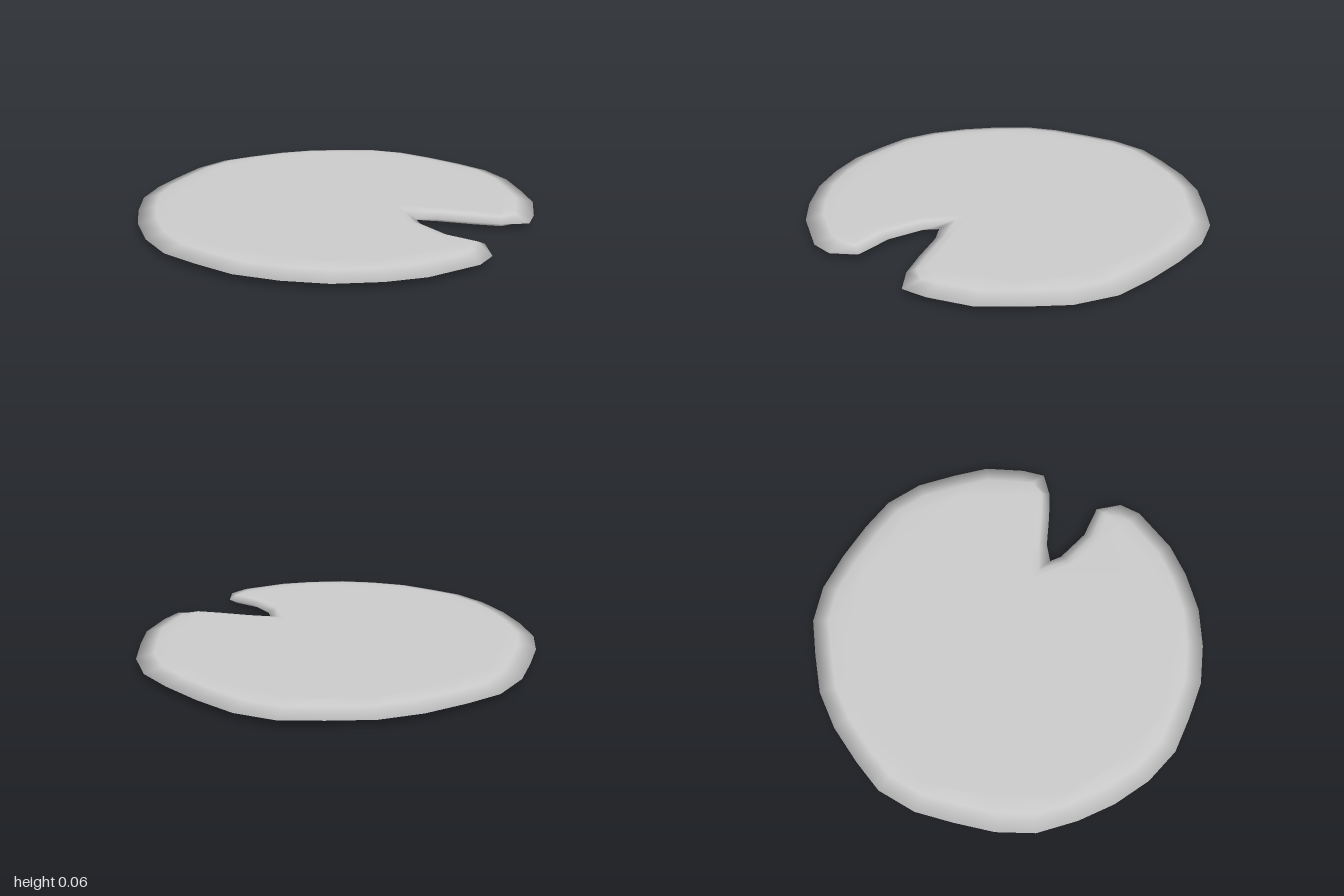
import * as THREE from 'three';

// Rim outline as [x, z], counter-clockwise from above, starting at the notch tip
const OUTLINE = [
  [0.46, 0.11], [0.55, 0.07], [0.72, 0.04], [0.85, 0.01], [0.96, -0.05], [0.96, -0.17],
  [0.92, -0.37], [0.83, -0.53], [0.72, -0.7], [0.57, -0.83], [0.4, -0.9], [0.2, -0.96],
  [0, -1], [-0.19, -0.985], [-0.36, -0.91], [-0.54, -0.82], [-0.69, -0.69], [-0.82, -0.53],
  [-0.92, -0.385], [-0.97, -0.19], [-0.97, 0], [-0.96, 0.2], [-0.915, 0.385], [-0.81, 0.56],
  [-0.69, 0.71], [-0.54, 0.845], [-0.37, 0.94], [-0.19, 0.975], [0, 1], [0.2, 0.975],
  [0.39, 0.92], [0.57, 0.82], [0.71, 0.71], [0.865, 0.51], [0.89, 0.4], [0.83, 0.28],
  [0.66, 0.25], [0.5, 0.16],
];
const N = OUTLINE.length;
const MID = 0.033;

// The bevel is narrower along the two sides of the notch
const bevelWidth = (i) => (i === 0 ? 0.09 : i < 4 || i > N - 4 ? 0.045 : 0.085);

// Outline moved inward by a multiple of the bevel width
function insetRing(amount) {
  return OUTLINE.map(([x, z], i) => {
    const a = OUTLINE[(i + N - 1) % N];
    const b = OUTLINE[(i + 1) % N];
    const inward = new THREE.Vector2(b[1] - a[1], a[0] - b[0]).normalize();
    const d = amount * bevelWidth(i);
    return [x + inward.x * d, z + inward.y * d];
  });
}

function padGeometry() {
  const positions = [];
  const index = [];
  const addRing = (ring, y) => {
    const start = positions.length / 3;
    ring.forEach(([x, z]) => positions.push(x, y, z));
    return start;
  };
  const tri = (a, b, c, up) => (up ? index.push(a, b, c) : index.push(a, c, b));

  const shoulder = insetRing(1);
  const inner = insetRing(1.7);
  const rim = addRing(OUTLINE, MID);
  const capFaces = THREE.ShapeUtils.triangulateShape(
    inner.map(([x, z]) => new THREE.Vector2(x, -z)), []);

  // Upper and lower skins share the thin rim
  for (const up of [true, false]) {
    const s = up ? 1 : -1;
    const rings = [rim, addRing(shoulder, up ? 0.054 : 0.006), addRing(inner, 0.03 + s * 0.03)];
    for (let r = 0; r < 2; r++) {
      for (let i = 0; i < N; i++) {
        const j = (i + 1) % N;
        tri(rings[r] + i, rings[r] + j, rings[r + 1] + j, up);
        tri(rings[r] + i, rings[r + 1] + j, rings[r + 1] + i, up);
      }
    }
    for (const [a, b, c] of capFaces) tri(rings[2] + a, rings[2] + b, rings[2] + c, up);
  }

  const geometry = new THREE.BufferGeometry();
  geometry.setAttribute('position', new THREE.Float32BufferAttribute(positions, 3));
  geometry.setIndex(index);
  geometry.computeVertexNormals();
  return geometry;
}

export function createModel() {
  const group = new THREE.Group();
  group.name = 'lilyPad';
  const leaf = new THREE.Mesh(padGeometry(), new THREE.MeshStandardMaterial({ color: 0xcccccc }));
  leaf.name = 'leaf';
  group.add(leaf);
  return group;
}
